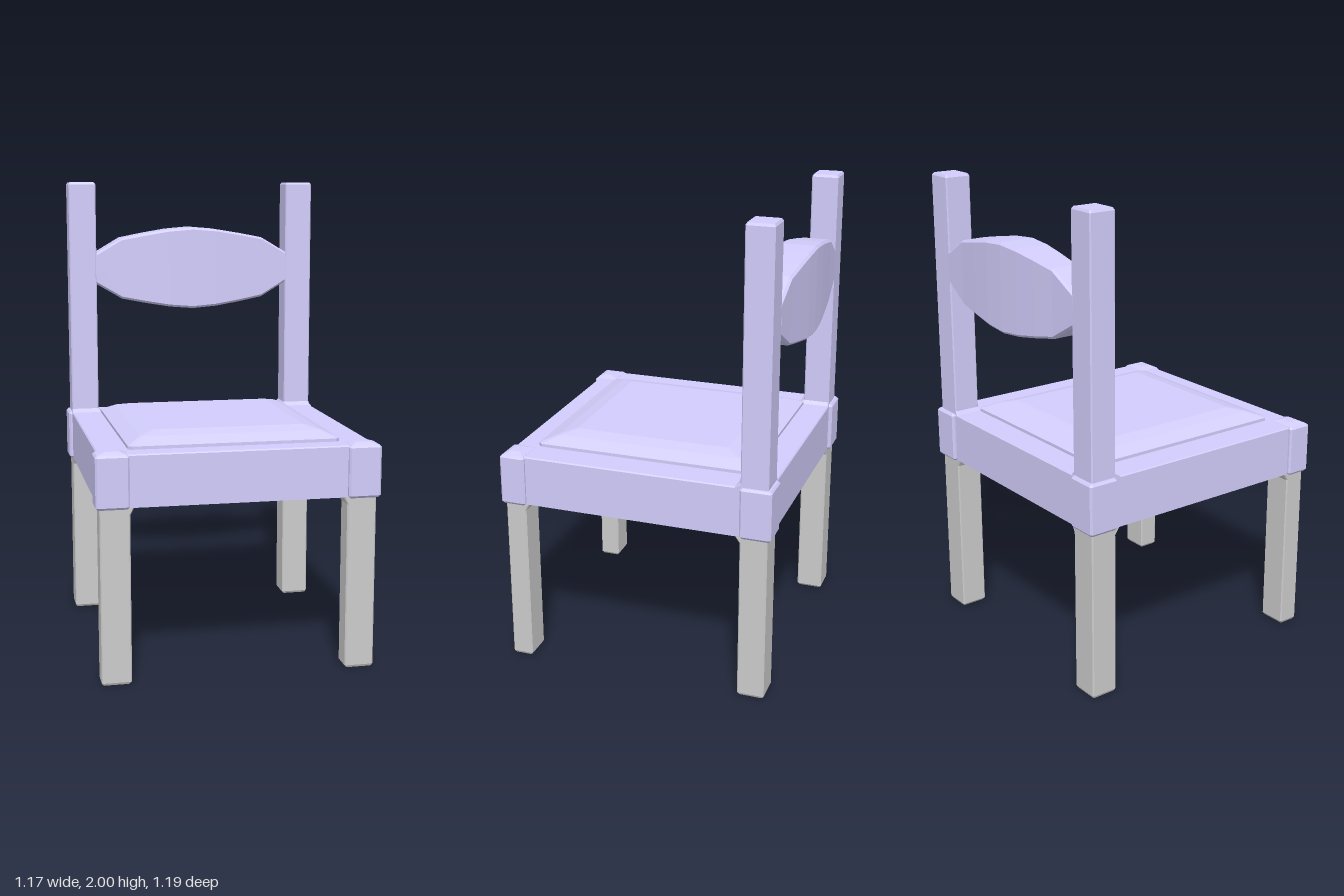
import * as THREE from 'three';

const paint = new THREE.MeshStandardMaterial({ color: 0xd2cdfc, flatShading: true });
const grey = new THREE.MeshStandardMaterial({ color: 0xcccccc, flatShading: true });

// Skin a list of equal-sized rings (counter-clockwise seen from the end of the loft) and cap both ends.
function loft(rings) {
  const n = rings[0].length, last = (rings.length - 1) * n, index = [];
  for (let r = 0; r < rings.length - 1; r++) {
    for (let i = 0; i < n; i++) {
      const a = r * n + i, b = r * n + (i + 1) % n;
      index.push(a, b, b + n, a, b + n, a + n);
    }
  }
  for (let i = 1; i < n - 1; i++) index.push(0, i + 1, i, last, last + i, last + i + 1);
  const geometry = new THREE.BufferGeometry();
  geometry.setAttribute('position', new THREE.Float32BufferAttribute(rings.flat(2), 3));
  geometry.setIndex(index);
  geometry.computeVertexNormals();
  return geometry;
}

// Rectangle with clipped corners as eight [u, v] points, counter-clockwise.
function clipped(u0, u1, v0, v1, c) {
  return [[u0 + c, v0], [u1 - c, v0], [u1, v0 + c], [u1, v1 - c],
    [u1 - c, v1], [u0 + c, v1], [u0, v1 - c], [u0, v0 + c]];
}

// Horizontal ring at height y; u runs along z and v along x.
const ring = (y, x0, x1, z0, z1, c = 0.005) =>
  clipped(z0, z1, Math.min(x0, x1), Math.max(x0, x1), c).map(([z, x]) => [x, y, z]);

export function createModel() {
  const chair = new THREE.Group();
  chair.name = 'chair';
  const add = (name, material, rings) => {
    const mesh = new THREE.Mesh(loft(rings), material);
    mesh.name = name;
    chair.add(mesh);
  };

  // Seat frame
  add('seatFrame', paint, [
    ring(0.73, -0.57, 0.57, -0.57, 0.574),
    ring(0.94, -0.57, 0.57, -0.57, 0.574),
    ring(0.945, -0.565, 0.565, -0.565, 0.569),
  ]);

  // Raised seat panel with softly sloped borders
  add('seatPanel', paint, [
    ring(0.94, -0.44, 0.44, -0.455, 0.48, 0.015),
    ring(0.958, -0.44, 0.44, -0.455, 0.48, 0.015),
    ring(0.985, -0.38, 0.38, -0.395, 0.41, 0.012),
    ring(0.996, -0.335, 0.335, -0.345, 0.365, 0.01),
    ring(1.0, -0.32, 0.32, -0.325, 0.35, 0.01),
  ]);

  for (const [side, s] of [['left', 1], ['right', -1]]) {
    // Legs, flared inwards just below the seat
    add(`${side}FrontLeg`, grey, [
      ring(0, s * 0.455, s * 0.565, 0.492, 0.571),
      ring(0.01, s * 0.447, s * 0.57, 0.486, 0.576),
      ring(0.7, s * 0.447, s * 0.57, 0.486, 0.576),
      ring(0.732, s * 0.43, s * 0.57, 0.467, 0.576),
    ]);
    add(`${side}BackLeg`, grey, [
      ring(0, s * 0.455, s * 0.565, -0.563, -0.458),
      ring(0.01, s * 0.447, s * 0.57, -0.568, -0.452),
      ring(0.7, s * 0.447, s * 0.57, -0.568, -0.452),
      ring(0.732, s * 0.43, s * 0.57, -0.568, -0.43),
    ]);

    // Back post with a small flared foot on the seat
    add(`${side}BackPost`, paint, [
      ring(0.94, s * 0.43, s * 0.57, -0.568, -0.422),
      ring(0.96, s * 0.447, s * 0.57, -0.568, -0.452),
      ring(1.99, s * 0.447, s * 0.57, -0.568, -0.452),
      ring(2.0, s * 0.453, s * 0.564, -0.562, -0.458),
    ]);

    // Corner blocks wrapping the frame; the front ones carry a low cap
    add(`${side}FrontBlock`, paint, [
      ring(0.727, s * 0.457, s * 0.578, 0.49, 0.583),
      ring(0.737, s * 0.449, s * 0.586, 0.482, 0.592, 0.008),
      ring(0.937, s * 0.449, s * 0.586, 0.482, 0.592, 0.008),
      ring(0.946, s * 0.457, s * 0.578, 0.486, 0.583),
      ring(0.957, s * 0.485, s * 0.545, 0.515, 0.56),
    ]);
    add(`${side}BackBlock`, paint, [
      ring(0.727, s * 0.457, s * 0.578, -0.577, -0.46),
      ring(0.737, s * 0.449, s * 0.586, -0.585, -0.452, 0.008),
      ring(0.937, s * 0.449, s * 0.586, -0.585, -0.452, 0.008),
      ring(0.946, s * 0.457, s * 0.578, -0.577, -0.46),
    ]);
  }

  // Back slat: half profile of [x, half height, half thickness], mirrored across the middle
  const half = [[0, 0.187, 0.083], [0.11, 0.178, 0.08], [0.22, 0.16, 0.072],
    [0.33, 0.139, 0.063], [0.455, 0.066, 0.057]];
  const profile = [...half.slice(1).reverse().map(([x, h, t]) => [-x, h, t]), ...half];
  add('backSlat', paint, profile.map(([x, h, t]) =>
    clipped(1.608 - h, 1.608 + h, -0.512 - t, -0.512 + t, 0.01).map(([y, z]) => [x, y, z])));

  return chair;
}
